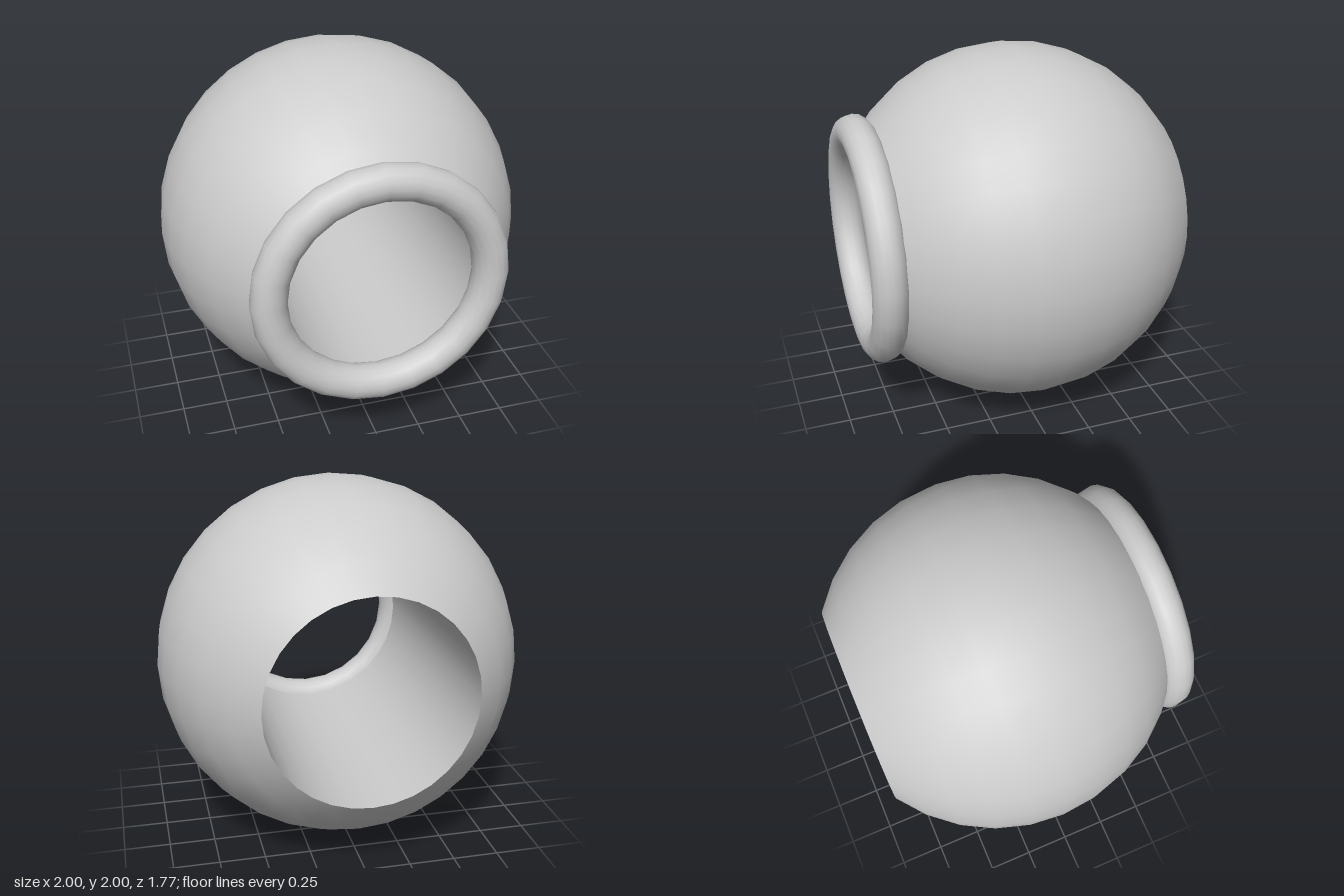
import * as THREE from 'three';

const SEGMENTS = 32;
const BORE = 0.56;      // radius of the through hole
const CENTRE_Z = -0.05; // middle of the ball

export function createModel() {
  const group = new THREE.Group();
  const material = new THREE.MeshStandardMaterial({ color: 0xcccccc });

  const add = (name, geometry, z) => {
    const mesh = new THREE.Mesh(geometry, material);
    mesh.name = name;
    mesh.position.set(0, 1, z);
    group.add(mesh);
  };

  // Revolve a profile of [radius, z] points about the z axis
  const revolve = (points) =>
    new THREE.LatheGeometry(points.map(([r, z]) => new THREE.Vector2(r, z)), SEGMENTS)
      .rotateX(Math.PI / 2);

  // Ball surface, cut open where the bore passes through
  const rim = Math.acos(BORE);
  const step = Math.PI / 16;
  const angles = [-rim];
  for (let i = -4; i <= 4; i++) angles.push(i * step);
  angles.push(rim);
  add('ball', revolve(angles.map((a) => [Math.cos(a), Math.sin(a)])), CENTRE_Z);

  // Inner wall of the bore, facing the axis
  const end = Math.sin(rim);
  add('boreWall', revolve([[BORE, end], [BORE, -end]]), CENTRE_Z);

  // Rounded ring around the front opening
  add('frontRing', new THREE.TorusGeometry(0.59, 0.096, 16, 24), 0.795);

  return group;
}
